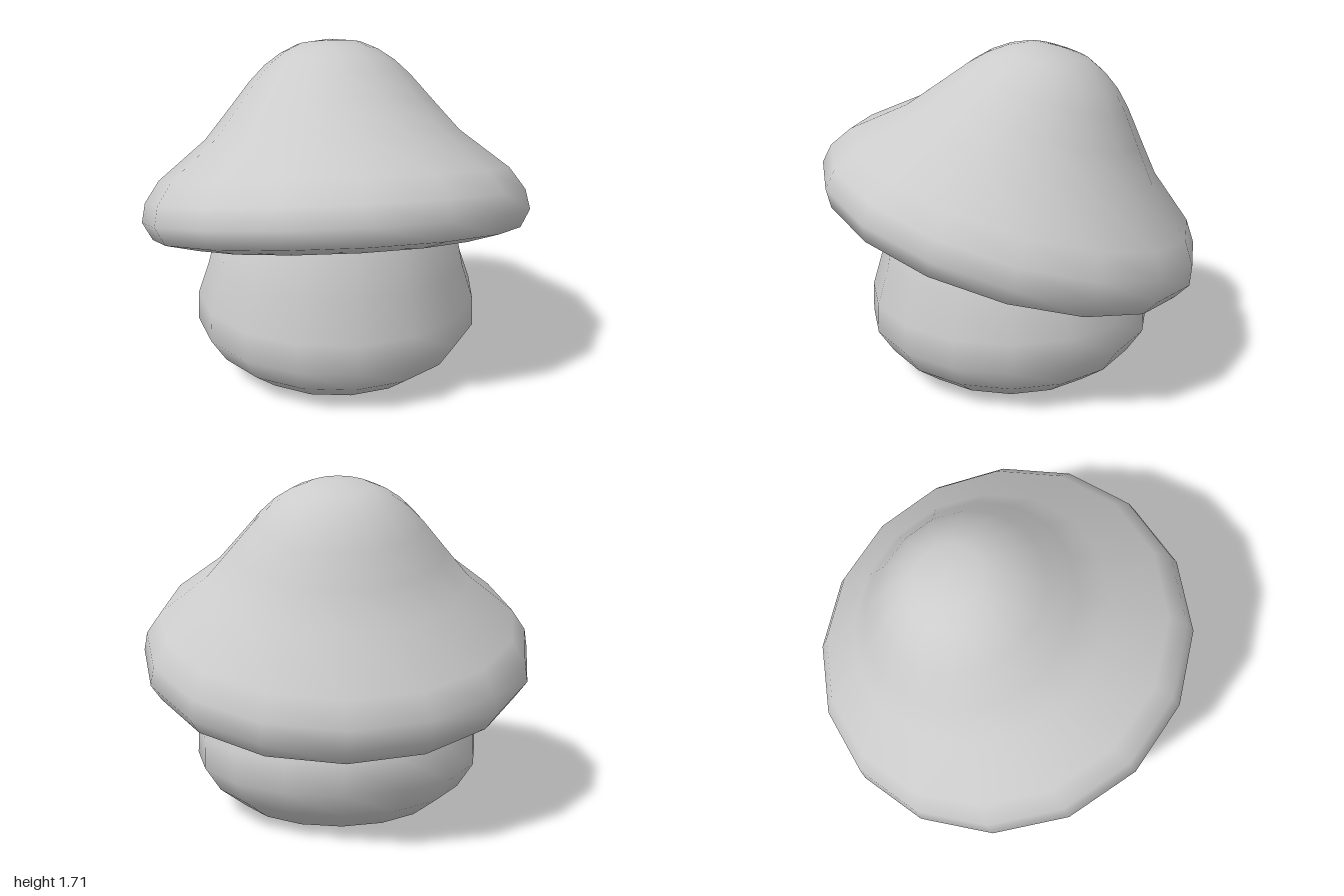
import * as THREE from 'three';
import { mergeVertices } from 'three/addons/utils/BufferGeometryUtils.js';

const SIDES = 16;
const TILT = 0.28; // cap leans back, front rim raised

// Smooth lathe from [radius, height] pairs, with an optional vertex rule
function turned(profile, rule) {
  let geo = new THREE.LatheGeometry(profile.map(([r, y]) => new THREE.Vector2(r, y)), SIDES);
  const pos = geo.attributes.position;
  if (rule) {
    for (let i = 0; i < pos.count; i++) pos.setY(i, rule(pos.getY(i), pos.getZ(i)));
  }
  // Weld the seam so the shading runs all the way round
  geo.deleteAttribute('uv');
  geo.deleteAttribute('normal');
  geo = mergeVertices(geo, 1e-4);
  geo.computeVertexNormals();
  return geo;
}

export function createModel() {
  const model = new THREE.Group();
  model.name = 'mushroom';
  const material = new THREE.MeshStandardMaterial({ color: 0xcccccc });

  // Stem: bulbous foot, upper rings slanting to meet the cap
  const stemProfile = [
    [0, 0], [0.31, 0.003], [0.52, 0.03], [0.655, 0.135], [0.735, 0.26],
    [0.73, 0.41], [0.67, 0.58], [0.62, 0.76], [0.5, 0.84], [0, 0.86],
  ];
  const slant = (y, z) => y + z * Math.tan(TILT) * THREE.MathUtils.clamp((y - 0.54) / 0.22, 0, 1);
  const stem = new THREE.Mesh(turned(stemProfile, slant), material);
  stem.name = 'stem';
  model.add(stem);

  // Cap: hollowed underside, rounded rim, flared slope and domed peak
  const capProfile = [
    [0, 0.05], [0.4, 0.02], [0.62, -0.05], [0.78, -0.13], [0.95, -0.09],
    [1, 0], [0.98, 0.1], [0.905, 0.21], [0.66, 0.41], [0.535, 0.56],
    [0.42, 0.7], [0.34, 0.78], [0.255, 0.84], [0.165, 0.882], [0, 0.905],
  ];
  const cap = new THREE.Mesh(turned(capProfile), material);
  cap.name = 'cap';
  cap.position.y = 0.815;
  cap.rotation.x = -TILT;
  model.add(cap);

  return model;
}
